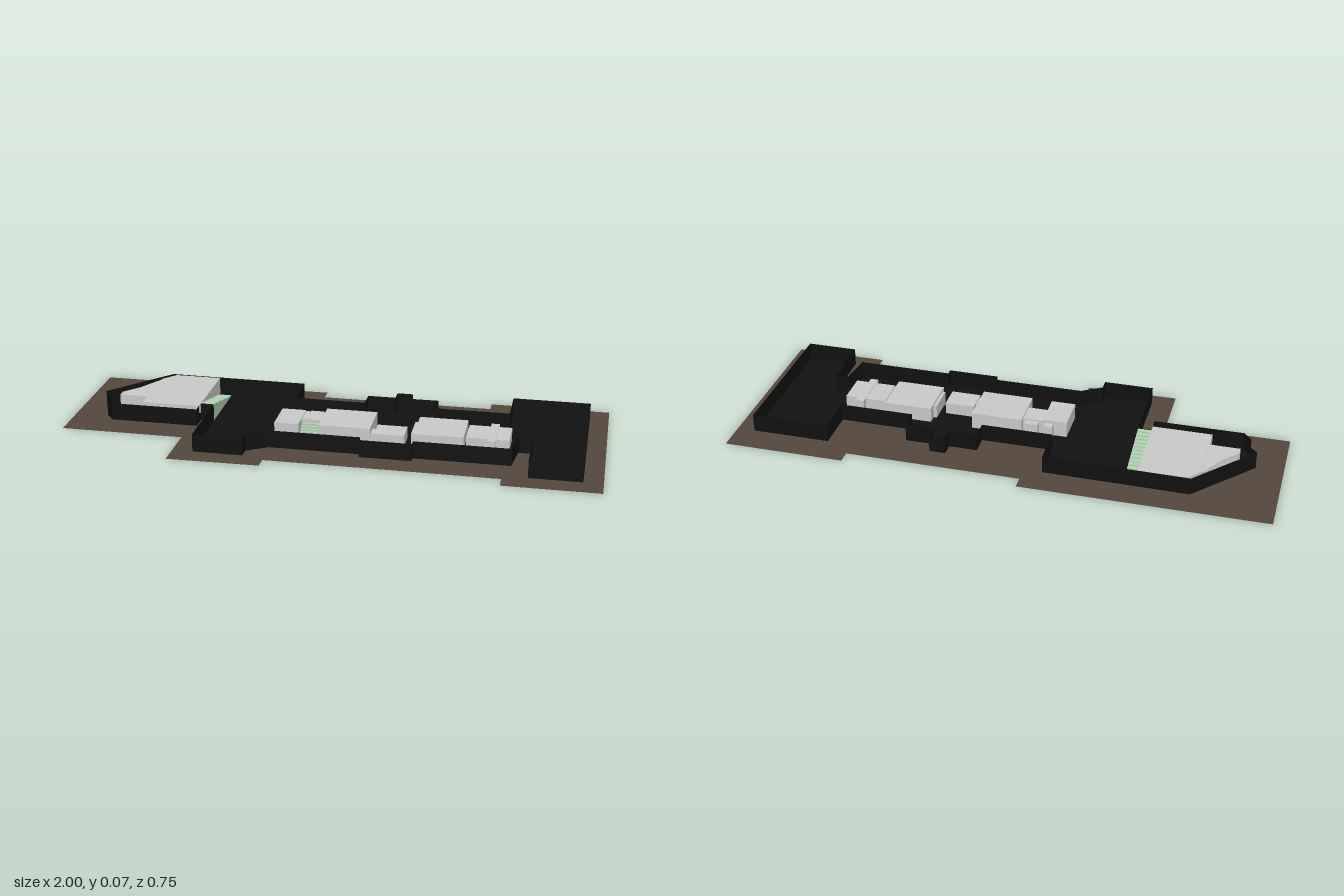
import * as THREE from 'three';

const mat = (color, side = THREE.FrontSide) =>
  new THREE.MeshStandardMaterial({ color, side, flatShading: true });
const grey = mat(0xcccccc);
const green = mat(0xb2d4b2);
const brown = mat(0x56483e, THREE.DoubleSide);
const black = mat(0x111111, THREE.DoubleSide);

const FLOOR = 0.006, TOP = 0.072;

const named = (name, geometry, material) => {
  const mesh = new THREE.Mesh(geometry, material);
  mesh.name = name;
  return mesh;
};

// Plan outlines are lists of [x, z]; the shape's y is -z so it lies flat after turning
const planShape = pts => new THREE.Shape(pts.map(([x, z]) => new THREE.Vector2(x, -z)));

const flat = (pts, y) =>
  new THREE.ShapeGeometry(planShape(pts)).rotateX(-Math.PI / 2).translate(0, y, 0);

const prism = (pts, y0, y1) =>
  new THREE.ExtrudeGeometry(planShape(pts), { depth: y1 - y0, bevelEnabled: false })
    .rotateX(-Math.PI / 2).translate(0, y0, 0);

const box = (x0, x1, z0, z1, y0, y1) =>
  new THREE.BoxGeometry(x1 - x0, y1 - y0, z1 - z0)
    .translate((x0 + x1) / 2, (y0 + y1) / 2, (z0 + z1) / 2);

// Thin upright wall following a closed outline
function wallRibbon(pts, y0, y1) {
  const pos = [];
  pts.forEach(([ax, az], i) => {
    const [bx, bz] = pts[(i + 1) % pts.length];
    pos.push(ax, y0, az, bx, y0, bz, bx, y1, bz);
    pos.push(ax, y0, az, bx, y1, bz, ax, y1, az);
  });
  const g = new THREE.BufferGeometry();
  g.setAttribute('position', new THREE.Float32BufferAttribute(pos, 3));
  g.computeVertexNormals();
  return g;
}

// Steps rising along +z
function stairs(name, x0, x1, zLow, zHigh, height, count) {
  const g = new THREE.Group();
  g.name = name;
  const run = (zHigh - zLow) / count;
  for (let i = 0; i < count; i++) {
    g.add(named('step', box(x0, x1, zLow + i * run, zLow + (i + 1) * run,
      FLOOR, FLOOR + (height - FLOOR) * (i + 1) / count), green));
  }
  return g;
}

export function createModel() {
  const model = new THREE.Group();
  model.name = 'walledCompound';

  // Ground sheet
  model.add(named('ground', flat([
    [-1, -0.375], [-0.1, -0.375], [-0.1, -0.325], [0.55, -0.325], [0.55, -0.375], [1, -0.375],
    [1, 0.37], [0.65, 0.37], [0.65, 0.315], [-0.2, 0.315], [-0.2, 0.365], [-0.54, 0.37],
    [-0.54, 0.17], [-1, 0.17]], 0), brown));

  // Dark floor and the wall round it
  const outline = [
    [-0.9, -0.05], [-0.7, -0.277], [-0.17, -0.272], [-0.17, -0.12], [0.095, -0.12],
    [0.095, -0.192], [0.2, -0.192], [0.2, -0.24], [0.26, -0.24], [0.26, -0.192],
    [0.365, -0.192], [0.365, -0.115], [0.64, -0.115], [0.64, -0.272], [0.93, -0.272],
    [0.93, 0.302], [0.74, 0.302], [0.74, 0.09], [0.69, 0.09], [0.675, 0.212], [0.325, 0.212],
    [0.325, 0.237], [0.135, 0.237], [0.135, 0.212], [-0.2, 0.212], [-0.275, 0.26],
    [-0.275, 0.302], [-0.46, 0.302], [-0.46, 0.005], [-0.51, 0.005], [-0.51, 0.067],
    [-0.84, 0.067], [-0.87, 0.03], [-0.87, -0.02]];
  model.add(named('floor', flat(outline, FLOOR), black));
  model.add(named('perimeterWall', wallRibbon(outline, FLOOR, TOP), black));

  // West hall with a lower wing
  model.add(named('westHall', prism([
    [-0.685, -0.272], [-0.51, -0.272], [-0.51, 0.03], [-0.73, 0.03], [-0.73, -0.22]],
    FLOOR, 0.071), grey));
  model.add(named('westWing', prism([
    [-0.73, -0.222], [-0.73, -0.035], [-0.84, -0.035], [-0.84, -0.065], [-0.7, -0.22]],
    FLOOR, 0.068), grey));

  model.add(stairs('westStairs', -0.509, -0.461, -0.25, 0.004, 0.07, 14));

  // Row of central buildings: x0, x1, z0, z1, roof height
  const rows = {
    longHouse: [
      [-0.2, -0.11, -0.02, 0.12, 0.066], [-0.15, -0.12, -0.045, -0.02, 0.055],
      [-0.11, -0.035, -0.02, 0.06, 0.062], [-0.095, -0.045, -0.045, -0.02, 0.055],
      [-0.035, 0.155, -0.045, 0.12, 0.068]],
    linkHouse: [[0.17, 0.28, 0.03, 0.12, 0.05], [0.155, 0.17, 0.06, 0.11, 0.045]],
    squareHouse: [[0.315, 0.495, -0.045, 0.122, 0.062], [0.303, 0.315, -0.01, 0.1, 0.055]],
    eastHouse: [
      [0.502, 0.658, -0.022, 0.1, 0.054], [0.58, 0.61, -0.045, 0.122, 0.056]]
  };
  for (const [name, blocks] of Object.entries(rows)) {
    const g = new THREE.Group();
    g.name = name;
    blocks.forEach(([x0, x1, z0, z1, y]) => g.add(named('block', box(x0, x1, z0, z1, FLOOR, y), grey)));
    model.add(g);
  }

  // Small stairs in the long house recess, climbing towards the back
  const small = stairs('recessStairs', -0.108, -0.037, -0.12, -0.062, 0.05, 6);
  small.scale.z = 1;
  small.children.forEach(step => step.geometry.rotateY(Math.PI).translate(-0.145, 0, 0));
  model.add(small);

  return model;
}
